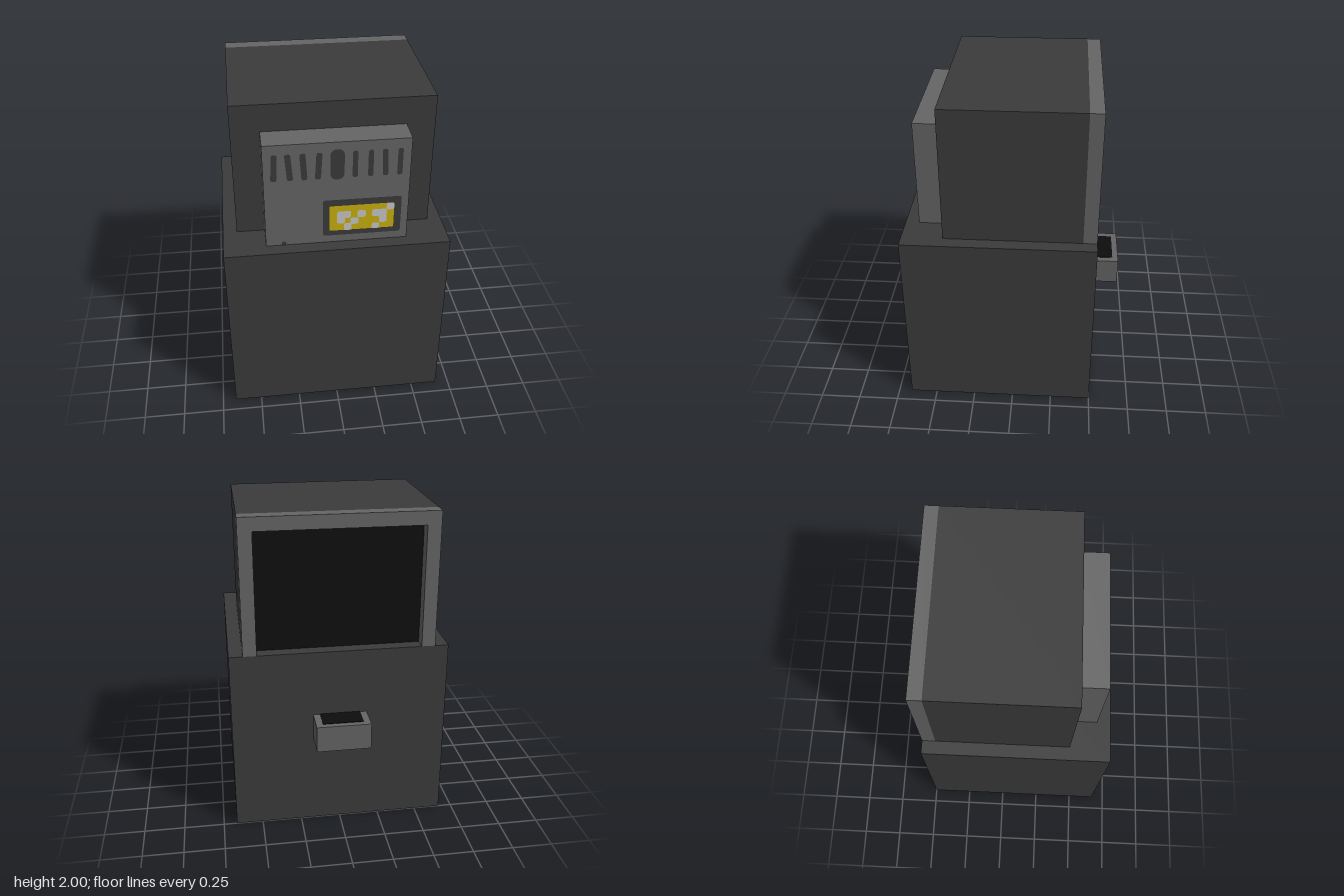
import * as THREE from 'three';

const U = 1 / 12; // modelling unit

const mat = (name, color) => {
  const m = new THREE.MeshStandardMaterial({ color });
  m.name = name;
  return m;
};

export function createModel() {
  const dark = mat('dark casing', 0x3b3b3b);
  const grey = mat('grey trim', 0x656565);
  const black = mat('black opening', 0x0d0d0d);
  const yellow = mat('yellow label', 0xc9b10e);
  const white = mat('pale marks', 0xc8c8c8);

  const model = new THREE.Group();
  model.name = 'machine';

  const add = (name, geometry, material, parent = model) => {
    const mesh = new THREE.Mesh(geometry, material);
    mesh.name = name;
    parent.add(mesh);
    return mesh;
  };

  // Box given by its limits on each axis
  const box = (name, material, [x0, x1], [y0, y1], [z0, z1], parent) => {
    const mesh = add(name, new THREE.BoxGeometry(x1 - x0, y1 - y0, z1 - z0), material, parent);
    mesh.position.set((x0 + x1) / 2, (y0 + y1) / 2, (z0 + z1) / 2);
    return mesh;
  };

  // Flat rounded plate facing forward
  const plate = (name, material, x0, x1, y0, y1, z, r, parent, lean = 0) => {
    const w = (x1 - x0) / 2, h = (y1 - y0) / 2;
    const s = new THREE.Shape();
    s.absarc(w - r, h - r, r, 0, Math.PI / 2);
    s.absarc(-w + r, h - r, r, Math.PI / 2, Math.PI);
    s.absarc(-w + r, -h + r, r, Math.PI, Math.PI * 1.5);
    s.absarc(w - r, -h + r, r, Math.PI * 1.5, Math.PI * 2);
    const mesh = add(name, new THREE.ShapeGeometry(s, 5), material, parent);
    mesh.position.set((x0 + x1) / 2, (y0 + y1) / 2, z);
    mesh.rotation.z = lean;
    return mesh;
  };

  // Main blocks
  box('base', dark, [-8 * U, 8 * U], [0, 14 * U], [-6 * U, 8 * U]);
  box('head', dark, [-7 * U, 7 * U], [14 * U, 2], [-5 * U, 5 * U]);

  // Frame around the rear opening, open at the bottom
  const frame = new THREE.Group();
  frame.name = 'rearFrame';
  model.add(frame);
  const depth = [-6 * U, -5 * U];
  box('frameTop', grey, [-7 * U, 7 * U], [23 * U, 2], depth, frame);
  for (const side of [-1, 1]) {
    const xs = [side * 6 * U, side * 7 * U].sort((a, b) => a - b);
    box(side > 0 ? 'frameLeft' : 'frameRight', grey, xs, [14 * U, 23 * U], depth, frame);
  }
  box('rearOpening', black, [-6 * U, 6 * U], [14 * U, 23 * U], [-5 * U - 0.004, -5 * U]);

  // Rear tray with a dark well on top
  box('tray', grey, [-2 * U, 2 * U], [7 * U, 9 * U], [-8 * U, -6 * U]);
  box('trayWell', black, [-0.125, 0.125], [9 * U, 9 * U + 0.003], [-0.63, -6 * U]);

  // Front panel
  const panel = new THREE.Group();
  panel.name = 'frontPanel';
  model.add(panel);
  box('panelBody', grey, [-5 * U, 5 * U], [14 * U, 22 * U], [5 * U, 7 * U], panel);

  // Vent slots: centre x, width, lean
  const z = 7 * U;
  const slots = [
    [-0.355, 0.034, -0.05], [-0.272, 0.034, 0.08], [-0.19, 0.034, 0.06], [-0.105, 0.034, -0.06],
    [0.1, 0.03, 0], [0.188, 0.03, 0], [0.27, 0.032, 0.04], [0.354, 0.03, 0],
  ];
  for (const [x, w, lean] of slots) {
    plate('ventSlot', dark, x - w / 2, x + w / 2, 1.605, 1.775, z + 0.003, 0.013, panel, lean);
  }
  plate('centreSlot', dark, -0.04, 0.04, 1.597, 1.79, z + 0.003, 0.036, panel);
  plate('panelSpeck', dark, -0.325, -0.298, 1.168, 1.193, z + 0.003, 0.01, panel);

  // Label with a dark surround and abstract pale marks
  plate('labelSurround', dark, -0.083, 0.375, 1.215, 1.46, z + 0.003, 0.015, panel);
  plate('label', yellow, -0.045, 0.333, 1.25, 1.42, z + 0.006, 0.01, panel);
  const marks = [
    [0.288, 0.333, 1.375, 1.42], [0, 0.045, 1.298, 1.383], [0.035, 0.08, 1.335, 1.383],
    [0.04, 0.085, 1.25, 1.3], [0.078, 0.125, 1.29, 1.335], [0.118, 0.167, 1.335, 1.383],
    [0.204, 0.29, 1.335, 1.383], [0.245, 0.29, 1.29, 1.345], [0.204, 0.247, 1.25, 1.29],
  ];
  for (const [x0, x1, y0, y1] of marks) {
    plate('labelMark', white, x0, x1, y0, y1, z + 0.009, 0.012, panel);
  }

  return model;
}
